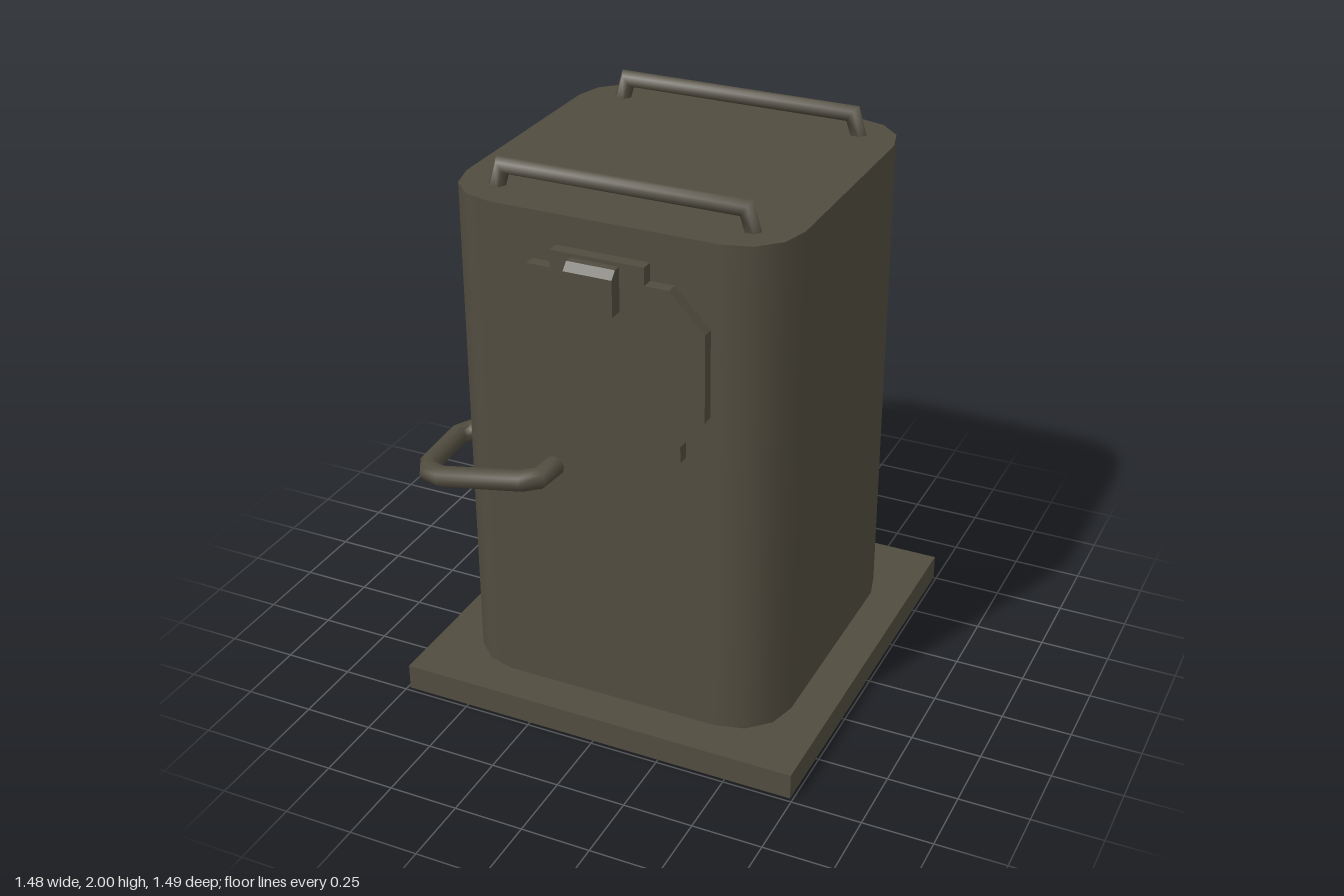
import * as THREE from 'three';

const metal = new THREE.MeshStandardMaterial({ color: 0x514c3f, side: THREE.DoubleSide });
metal.name = 'dark olive metal';

function add(parent, name, geometry, x = 0, y = 0, z = 0) {
  const mesh = new THREE.Mesh(geometry, metal);
  mesh.name = name;
  mesh.position.set(x, y, z);
  parent.add(mesh);
  return mesh;
}

// Rounded square outline: points with their outward directions
function roundedRing(half, radius, steps) {
  const ring = [];
  for (let c = 0; c < 4; c++) {
    const mid = (c + 0.5) * Math.PI / 2;
    for (let k = 0; k <= steps; k++) {
      const a = (c + k / steps) * Math.PI / 2;
      const nx = Math.cos(a), nz = Math.sin(a);
      ring.push({
        x: Math.sign(Math.cos(mid)) * (half - radius) + radius * nx,
        z: Math.sign(Math.sin(mid)) * (half - radius) + radius * nz,
        nx, nz,
      });
    }
  }
  return ring;
}

// Smooth upright wall following a ring
function wall(ring, y0, y1) {
  const pos = [], nor = [], idx = [], n = ring.length;
  ring.forEach((p, i) => {
    pos.push(p.x, y0, p.z, p.x, y1, p.z);
    nor.push(p.nx, 0, p.nz, p.nx, 0, p.nz);
    const a = 2 * i, b = 2 * ((i + 1) % n);
    idx.push(a, a + 1, b, b, a + 1, b + 1);
  });
  const g = new THREE.BufferGeometry();
  g.setAttribute('position', new THREE.Float32BufferAttribute(pos, 3));
  g.setAttribute('normal', new THREE.Float32BufferAttribute(nor, 3));
  g.setIndex(idx);
  return g;
}

// Mitred round bar along a planar path; n is the plane's normal
function bar(path, n, radius, sides) {
  const pts = path.map(p => new THREE.Vector3(...p));
  const pos = [], idx = [];
  pts.forEach((p, i) => {
    const before = p.clone().sub(pts[Math.max(i - 1, 0)]).normalize();
    const after = pts[Math.min(i + 1, pts.length - 1)].clone().sub(p).normalize();
    const t = before.clone().add(after).normalize();
    const stretch = 1 / t.dot(i ? before : after);
    const u = n.clone().cross(t).normalize();
    for (let j = 0; j < sides; j++) {
      const a = j / sides * Math.PI * 2;
      const v = p.clone().addScaledVector(u, radius * stretch * Math.cos(a))
        .addScaledVector(n, radius * Math.sin(a));
      pos.push(v.x, v.y, v.z);
      if (i < pts.length - 1) {
        const k = i * sides + j, l = i * sides + (j + 1) % sides;
        idx.push(k, l, k + sides, l, l + sides, k + sides);
      }
    }
  });
  const g = new THREE.BufferGeometry();
  g.setAttribute('position', new THREE.Float32BufferAttribute(pos, 3));
  g.setIndex(idx);
  g.computeVertexNormals();
  return g;
}

const shapeOf = pts => new THREE.Shape(pts.map(p => new THREE.Vector2(...p)));
const extrude = (shape, depth) => new THREE.ExtrudeGeometry(shape, { depth, bevelEnabled: false });

// Access panel with its latch, facing +z from z = 0
function accessPanel(name) {
  const group = new THREE.Group();
  group.name = name;
  const half = [[0.288, 1.13], [0.288, 1.19], [0.373, 1.295], [0.373, 1.605],
    [0.25, 1.733], [0.165, 1.733], [0.165, 1.795]];
  const mirrored = half.map(([x, y]) => [-x, y]).reverse();
  add(group, 'panelPlate', extrude(shapeOf([...half, ...mirrored]), 0.043));

  const profile = [[0.055, 1.635], [0.107, 1.635], [0.107, 1.762], [0.083, 1.788], [0.055, 1.788]];
  const latch = extrude(shapeOf(profile), 0.17);
  latch.rotateY(-Math.PI / 2);
  add(group, 'latch', latch, 0.085);
  return group;
}

export function createModel() {
  const model = new THREE.Group();
  model.name = 'metalCabinet';
  const bodyZ = -0.01, baseTop = 0.095, bodyTop = 1.9;
  const ring = roundedRing(0.6, 0.2, 3);
  const ringPoints = ring.map(p => [p.x, p.z]);

  // Hollow body, open underneath
  add(model, 'bodyWall', wall(ring, baseTop, bodyTop), 0, 0, bodyZ);
  add(model, 'bodyTop', new THREE.ShapeGeometry(shapeOf(ringPoints)).rotateX(-Math.PI / 2), 0, bodyTop, bodyZ);

  // Base: flange with an opening, and a thin skirt
  const flange = shapeOf([[-0.74, -0.735], [0.74, -0.735], [0.74, 0.75], [-0.74, 0.75]]);
  flange.holes.push(new THREE.Path(ringPoints.map(([x, z]) => new THREE.Vector2(x, z - bodyZ))));
  add(model, 'baseFlange', new THREE.ShapeGeometry(flange).rotateX(-Math.PI / 2), 0, baseTop, 0);
  const r = 0.74 * Math.SQRT2;
  const skirt = new THREE.CylinderGeometry(r, r, baseTop, 4, 1, true)
    .rotateY(Math.PI / 4).scale(1, 1, 0.7425 / 0.74).toNonIndexed();
  skirt.computeVertexNormals();
  add(model, 'baseSkirt', skirt, 0, baseTop / 2, -0.0075);

  // Access panels front and back
  const front = accessPanel('frontPanel');
  front.position.z = 0.59;
  const back = accessPanel('backPanel');
  back.position.z = -0.61;
  back.rotation.y = Math.PI;
  model.add(front, back);

  // Two grab rails on top
  const zAxis = new THREE.Vector3(0, 0, 1);
  const rail = [[-0.452, 1.89, 0], [-0.428, 1.97, 0], [0.428, 1.97, 0], [0.452, 1.89, 0]];
  for (const [name, z] of [['backTopRail', -0.465], ['frontTopRail', 0.45]]) {
    add(model, name, bar(rail, zAxis, 0.03, 6), 0, 0, z);
  }

  // Bent handle around the front corner, in a tilted plane
  const slope = 0.195;
  const bend = [[-0.56, 0.345], [-0.65, 0.345], [-0.688, 0.395], [-0.672, 0.61], [-0.637, 0.67],
    [-0.57, 0.703], [-0.26, 0.705], [-0.207, 0.68], [-0.195, 0.57]];
  const handle = bend.map(([x, z]) => [x, 0.885 + slope * (x + 0.69), z]);
  add(model, 'cornerHandle', bar(handle, new THREE.Vector3(-slope, 1, 0).normalize(), 0.037, 10));

  // Conduits from the back panel down to the base
  const conduits = [[0.195, 0.09], [0.09, -0.01], [-0.24, -0.115]];
  conduits.forEach(([top, bottom], i) => {
    const path = [[top, 1.15, 0], [top, 0.74, 0], [bottom, 0.575, 0], [bottom, baseTop, 0]];
    add(model, 'conduit' + (i + 1), bar(path, zAxis, 0.022, 8), 0, 0, -0.608);
  });

  return model;
}
